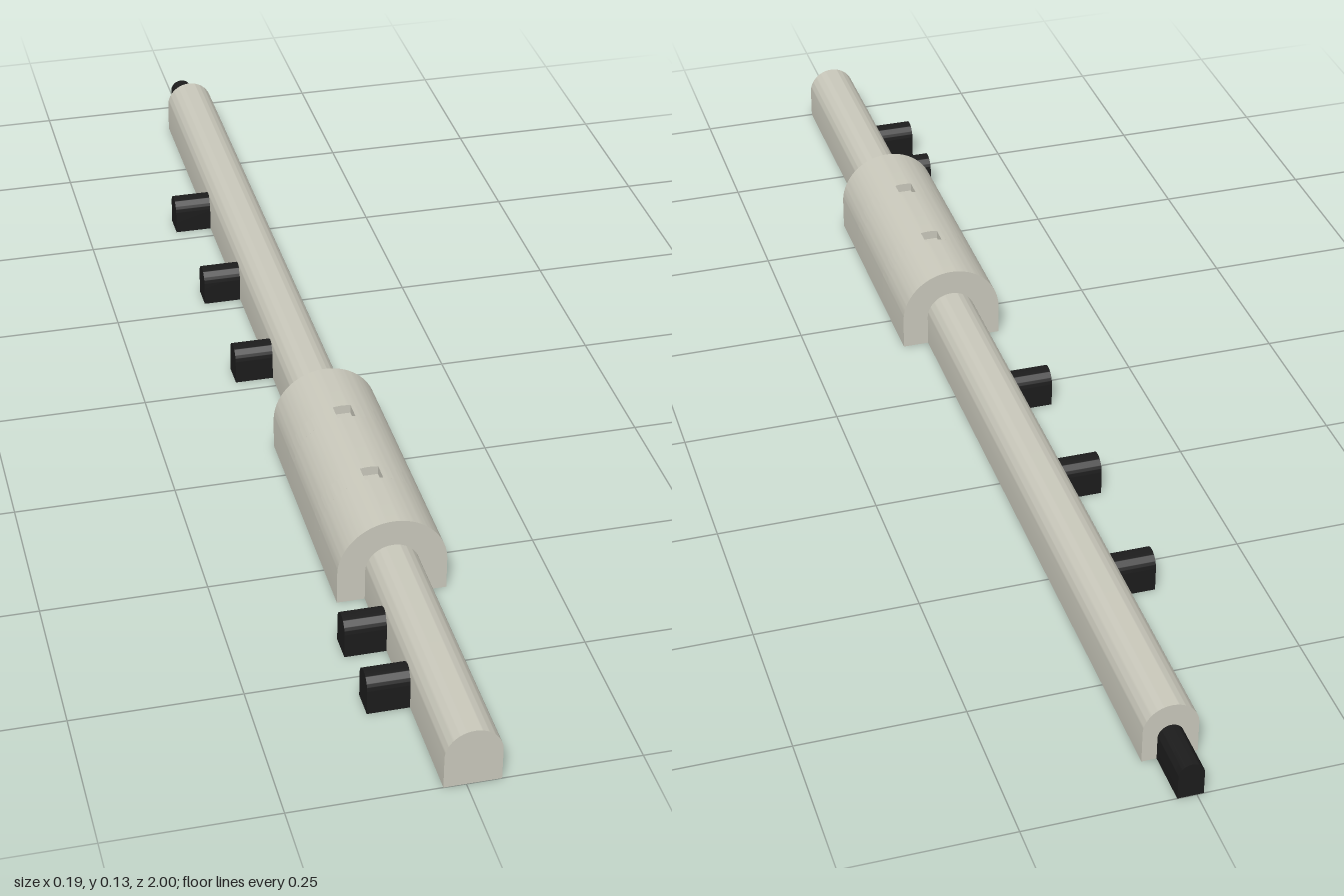
import * as THREE from 'three';
import { toCreasedNormals } from 'three/addons/utils/BufferGeometryUtils.js';

const CX = 0.009; // centre line of the rod

// Round-topped profile standing on y = 0, optionally with a slot cut in its crown
function archShape(radius, height, slotWidth = 0, slotDepth = 0) {
  const springY = height - radius;
  const a = slotWidth ? Math.asin(slotWidth / 2 / radius) : 0;
  const s = new THREE.Shape();
  s.moveTo(-radius, 0);
  s.lineTo(radius, 0);
  s.lineTo(radius, springY);
  if (slotWidth) {
    s.absarc(0, springY, radius, 0, Math.PI / 2 - a, false);
    s.lineTo(slotWidth / 2, height - slotDepth);
    s.lineTo(-slotWidth / 2, height - slotDepth);
    s.absarc(0, springY, radius, Math.PI / 2 + a, Math.PI, false);
  } else {
    s.absarc(0, springY, radius, 0, Math.PI, false);
  }
  s.closePath();
  return s;
}

function extrude(shape, depth) {
  const g = new THREE.ExtrudeGeometry(shape, { depth, bevelEnabled: false, curveSegments: 32 });
  return toCreasedNormals(g, 0.6);
}

export function createModel() {
  const model = new THREE.Group();
  const beige = new THREE.MeshStandardMaterial({ color: 0xc9c8bb });
  beige.name = 'warm grey';
  const black = new THREE.MeshStandardMaterial({ color: 0x1c1c1c });
  black.name = 'black';

  const add = (parent, name, geometry, material, x, z) => {
    const mesh = new THREE.Mesh(geometry, material);
    mesh.name = name;
    mesh.position.set(x, 0, z);
    parent.add(mesh);
    return mesh;
  };

  // Long rod and the narrow tip behind it
  add(model, 'rod', extrude(archShape(0.041, 0.091), 1.917), beige, CX, -0.917);
  add(model, 'tip', extrude(archShape(0.019, 0.056), 0.083), black, CX, -1);

  // Thick sleeve, sliced along z so two slices carry a square recess on top
  const sleeve = new THREE.Group();
  sleeve.name = 'sleeve';
  model.add(sleeve);
  const cuts = [0.167, 0.273, 0.303, 0.44, 0.47, 0.58];
  for (let i = 0; i < cuts.length - 1; i++) {
    const recessed = i % 2 === 1;
    const shape = recessed ? archShape(0.083, 0.133, 0.028, 0.015) : archShape(0.083, 0.133);
    add(sleeve, recessed ? 'sleeveRecess' : 'sleeveSection',
      extrude(shape, cuts[i + 1] - cuts[i]), beige, CX, cuts[i]);
  }

  // Side pegs on the right of the rod
  const pegGeometry = extrude(archShape(0.021, 0.06), 0.069);
  for (const z of [-0.547, -0.297, -0.045, 0.683, 0.81]) {
    add(model, 'sidePeg', pegGeometry, black, -0.094, z).rotation.y = Math.PI / 2;
  }
  return model;
}
